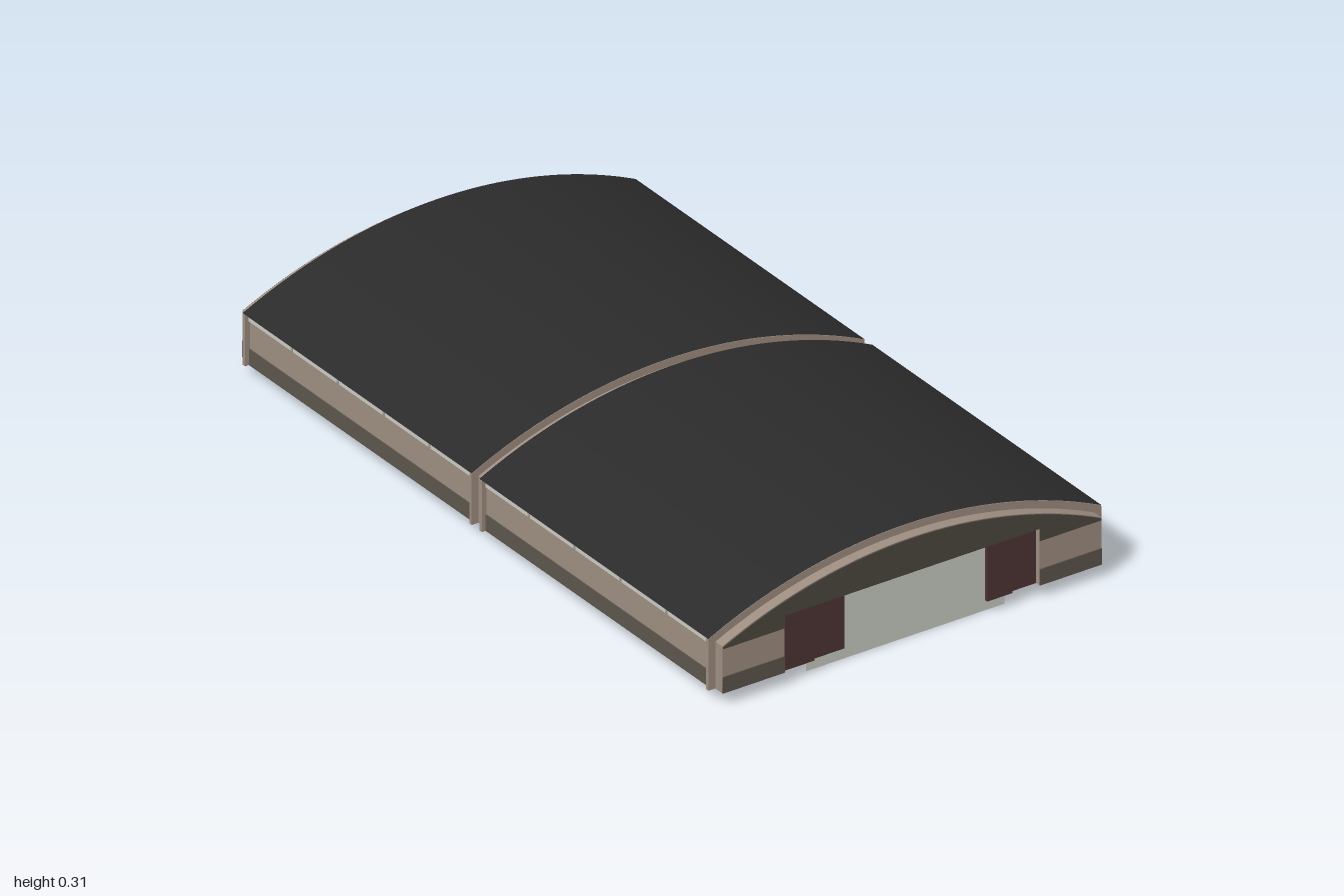
import * as THREE from 'three';

const mat = (name, color, side = THREE.FrontSide) => {
  const m = new THREE.MeshStandardMaterial({ color, side });
  m.name = name;
  return m;
};

// Arched roof: radius and centre height
const R = 1.3146, CY = -1.0096, FLOOR = 0.035;
const INNER = R - 0.02;
const arcY = (x, r) => Math.sqrt(r * r - x * x) + CY;

// Adds the arch from +x to -x to a shape
function addArch(shape, half, r, steps = 32) {
  for (let i = 0; i <= steps; i++) {
    const x = half * (1 - (2 * i) / steps);
    shape.lineTo(x, arcY(x, r));
  }
}

export function createModel() {
  const model = new THREE.Group();
  model.name = 'hangar';
  const tan = mat('tan wall', 0x9d8d80);
  const olive = mat('dark gable', 0x4c483f);
  const base = mat('dark base band', 0x5c564c);
  const roofMat = mat('black roofing', 0x2b2b2b, THREE.DoubleSide);
  const red = mat('dark red door', 0x4d3434);
  const pale = mat('pale panel', 0xc8cac2, THREE.DoubleSide);

  const add = (name, geo, material, parent = model) => {
    const m = new THREE.Mesh(geo, material);
    m.name = name;
    parent.add(m);
    return m;
  };
  const box = (name, x0, x1, y0, y1, z0, z1, material, parent) =>
    add(name, new THREE.BoxGeometry(x1 - x0, y1 - y0, z1 - z0), material, parent)
      .position.set((x0 + x1) / 2, (y0 + y1) / 2, (z0 + z1) / 2);
  const extrude = (name, shape, z0, z1, material, parent) => {
    const geo = new THREE.ExtrudeGeometry(shape, { depth: z1 - z0, bevelEnabled: false });
    add(name, geo, material, parent).position.z = z0;
  };

  const Z0 = 0.016, Z1 = 0.968, LEN = Z1 - Z0, WALL = 0.556;

  // Hall section: recessed walls below overhanging eaves
  const hall = new THREE.Shape();
  hall.moveTo(-WALL, FLOOR);
  hall.lineTo(WALL, FLOOR);
  hall.lineTo(WALL, 0.168);
  addArch(hall, 0.57, R);
  hall.lineTo(-WALL, 0.168);

  for (const s of [1, -1]) {
    const zc = s * (Z0 + Z1) / 2;
    extrude('hallSection', hall, zc - LEN / 2, zc + LEN / 2, tan);

    // Roof sheet
    const angle = Math.asin(0.57 / R);
    const sheet = new THREE.CylinderGeometry(R + 0.001, R + 0.001, LEN, 48, 1, true, Math.PI - angle, 2 * angle);
    sheet.rotateX(Math.PI / 2);
    add('roof', sheet, roofMat).position.set(0, CY, zc);

    // Side walls: corner posts, base band and window strips
    for (const side of [1, -1]) {
      const span = (a, b) => [Math.min(side * a, side * b), Math.max(side * a, side * b)];
      for (const e of [-1, 1]) {
        const z = zc + e * (LEN / 2 - 0.005);
        box('cornerPost', ...span(0.55, 0.57), FLOOR, 0.174, z - 0.005, z + 0.005, tan);
      }
      box('sideBaseBand', ...span(WALL - 0.002, WALL + 0.003), FLOOR, 0.079, zc - LEN / 2 + 0.01, zc + LEN / 2 - 0.01, base);
      for (let i = 0; i < 5; i++) {
        const z = zc + (i - 2) * LEN / 5;
        box('window', ...span(WALL - 0.002, WALL + 0.004), 0.155, 0.171, z - 0.09, z + 0.09, pale);
      }
    }
  }

  // Central joint between the two roof sections
  const rib = new THREE.Shape();
  rib.moveTo(-0.55, FLOOR);
  rib.lineTo(0.55, FLOOR);
  addArch(rib, 0.55, INNER);
  extrude('centreJoint', rib, -Z0, Z0, tan);

  // End wall with the doorway cut out
  const wall = new THREE.Shape();
  wall.moveTo(0.37, 0.19);
  wall.lineTo(0.37, FLOOR);
  wall.lineTo(0.55, FLOOR);
  addArch(wall, 0.55, INNER);
  wall.lineTo(-0.55, FLOOR);
  wall.lineTo(-0.37, FLOOR);
  wall.lineTo(-0.37, 0.19);

  // Painted gable above the doorway
  const gable = new THREE.Shape();
  gable.moveTo(-0.37, 0.19);
  gable.lineTo(-0.37, 0.156);
  gable.lineTo(-0.548, 0.156);
  for (let i = 0; i <= 32; i++) {
    const x = 0.548 * (i / 16 - 1);
    gable.lineTo(x, arcY(x, INNER - 0.002));
  }
  gable.lineTo(0.548, 0.156);
  gable.lineTo(0.37, 0.156);
  gable.lineTo(0.37, 0.19);

  const buildEnd = (name) => {
    const end = new THREE.Group();
    end.name = name;
    model.add(end);
    extrude('endWall', wall, Z1, 0.997, tan, end);
    extrude('gable', gable, 0.997, 1, olive, end);
    for (const [a, b] of [[-0.55, -0.37], [0.37, 0.55]])
      box('endBaseBand', a, b, FLOOR, 0.079, 0.996, 1, base, end);
    // Threshold behind the doors
    box('threshold', -0.37, 0.37, 0.023, FLOOR, 0.964, 0.967, pale, end);
    return end;
  };

  // Sliding leaves on alternating tracks
  const leaves = (end, x0, x1, count) => {
    const w = (x1 - x0) / count;
    for (let i = 0; i < count; i++) {
      const z = i % 2 ? 0.976 : 0.984;
      box('doorLeaf', x0 + i * w, x0 + (i + 1) * w, FLOOR, 0.19, z, z + 0.008, red, end);
    }
  };

  // Front: doors pushed aside, pale panel in the opening
  const front = buildEnd('frontEnd');
  leaves(front, -0.37, -0.187, 2);
  leaves(front, 0.222, 0.37, 2);
  box('openingPanel', -0.29, 0.286, 0, 0.19, 0.969, 0.972, pale, front);

  // Back: doors closed apart from a narrow gap
  const back = buildEnd('backEnd');
  back.rotation.y = Math.PI;
  leaves(back, -0.37, -0.004, 5);
  leaves(back, 0.004, 0.37, 5);
  box('openingPanel', -0.29, 0.29, FLOOR, 0.19, 0.969, 0.972, pale, back);

  return model;
}
